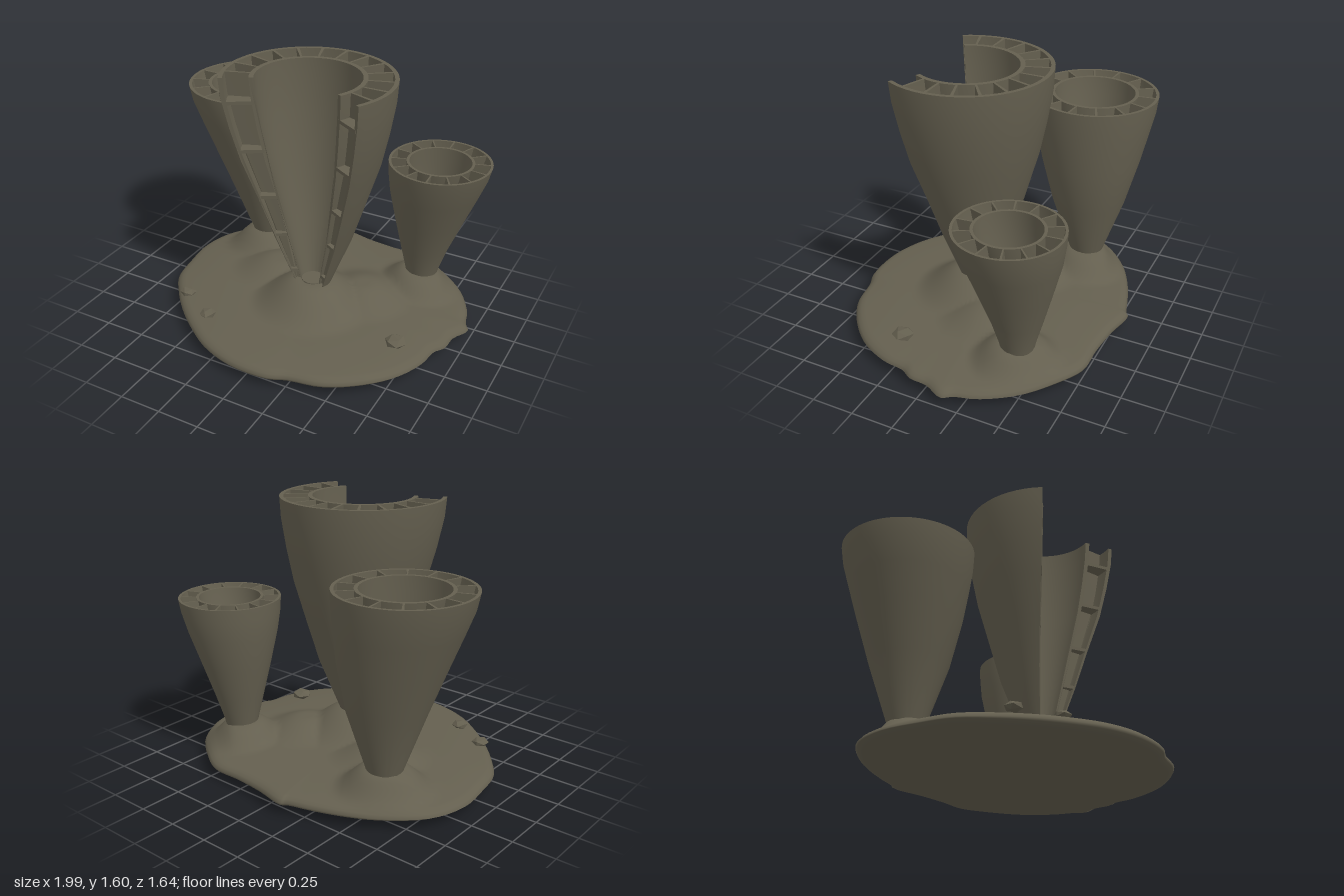
import * as THREE from 'three';
import { toCreasedNormals } from 'three/addons/utils/BufferGeometryUtils.js';

const RAD = Math.PI / 180;
const stone = new THREE.MeshStandardMaterial({ color: 0x645f4f });
stone.name = 'olive stone';

// Each cup: levels are [y, outer radius, axis x, axis z]; angles in degrees, 90 faces the front
const CUPS = [
  {
    name: 'mainCup', from: 149, to: 391, inner: 0.605, floor: 0.285, septa: 13, first: 162, step: 18,
    shelves: [0.35, 0.6, 0.855, 1.155, 1.45],
    levels: [[0.23, 0.09, 0.075, 0.1], [0.28, 0.107, 0.075, 0.1], [0.6, 0.232, 0.077, 0.1], [0.85, 0.312, 0.077, 0.11],
      [1.1, 0.395, 0.075, 0.125], [1.3, 0.443, 0.072, 0.135], [1.48, 0.477, 0.07, 0.143], [1.6, 0.486, 0.07, 0.147]],
  },
  {
    name: 'leftRearCup', from: 0, to: 360, inner: 0.6, floor: 0.47, septa: 14, first: 8, step: 360 / 14,
    shelves: [0.6, 0.9],
    levels: [[0.2, 0.095, 0.575, -0.41], [0.25, 0.105, 0.577, -0.41], [0.4, 0.147, 0.585, -0.41], [0.6, 0.207, 0.605, -0.405],
      [0.8, 0.266, 0.628, -0.4], [0.92, 0.294, 0.647, -0.393], [1, 0.304, 0.657, -0.39]],
  },
  {
    name: 'rightRearCup', from: 0, to: 360, inner: 0.63, floor: 0.53, septa: 14, first: 4, step: 360 / 14,
    shelves: [0.6, 0.9, 1.16],
    levels: [[0.2, 0.095, -0.52, -0.39], [0.25, 0.107, -0.52, -0.39], [0.6, 0.227, -0.528, -0.385], [0.87, 0.302, -0.557, -0.375],
      [1.05, 0.345, -0.585, -0.367], [1.18, 0.374, -0.606, -0.362], [1.275, 0.384, -0.616, -0.36]],
  },
];

// Radius and axis of a cup at a height
function levelAt(levels, y) {
  let i = 1;
  while (i < levels.length - 1 && levels[i][0] < y) i++;
  const a = levels[i - 1], b = levels[i];
  const t = (y - a[0]) / (b[0] - a[0]);
  return a.map((v, k) => v + (b[k] - v) * t);
}

// Sweeps a closed counterclockwise section of [radius, y] around the bent axis of a cup
function sweep(levels, section, from, to, steps) {
  const pos = [];
  const point = ([r, y], deg) => {
    const [, , cx, cz] = levelAt(levels, y);
    return [cx + r * Math.cos(deg * RAD), y, cz + r * Math.sin(deg * RAD)];
  };
  const tri = (a, b, c) => pos.push(...a, ...b, ...c);
  for (let s = 0; s < steps; s++) {
    const a0 = from + (to - from) * s / steps, a1 = from + (to - from) * (s + 1) / steps;
    section.forEach((p, i) => {
      const q = section[(i + 1) % section.length];
      tri(point(p, a0), point(q, a0), point(q, a1));
      tri(point(p, a0), point(q, a1), point(p, a1));
    });
  }
  if (to - from < 360) {
    const flat = section.map(([r, y]) => new THREE.Vector2(r, y));
    for (const [a, b, c] of THREE.ShapeUtils.triangulateShape(flat, [])) {
      tri(point(section[a], to), point(section[b], to), point(section[c], to));
      tri(point(section[c], from), point(section[b], from), point(section[a], from));
    }
  }
  const geo = new THREE.BufferGeometry();
  geo.setAttribute('position', new THREE.Float32BufferAttribute(pos, 3));
  return toCreasedNormals(geo, 0.5);
}

function addMesh(group, geo, name) {
  const mesh = new THREE.Mesh(geo, stone);
  mesh.name = name;
  group.add(mesh);
  return mesh;
}

function makeCup(cup) {
  const { levels, inner, from, to } = cup;
  const g = new THREE.Group();
  g.name = cup.name;
  const steps = Math.round((to - from) / 6);
  // Section between two fractions of the outer radius
  const band = (lo, hi) => [
    ...levels.map(([y, r]) => [r * hi, y]),
    ...[...levels].reverse().map(([y, r]) => [r * lo, y]),
  ];
  addMesh(g, sweep(levels, band(0.95, 1), from, to, steps), 'outerWall');
  addMesh(g, sweep(levels, band(inner, inner + 0.055), from, to, steps), 'innerWall');

  // Radial partitions between the walls
  for (let i = 0; i < cup.septa; i++) {
    const a = cup.first + i * cup.step;
    addMesh(g, sweep(levels, band(inner + 0.03, 0.97), a - 1.1, a + 1.1, 1), 'partition');
  }
  // Ring shelves between the walls
  for (const y of cup.shelves) {
    const r = levelAt(levels, y)[1], lo = r * (inner + 0.03), hi = r * 0.97;
    const ring = [[hi, y - 0.01], [hi, y + 0.01], [lo, y + 0.01], [lo, y - 0.01]];
    addMesh(g, sweep(levels, ring, from, to, steps), 'shelf');
  }
  // Floor of the hollow
  const [, r, cx, cz] = levelAt(levels, cup.floor);
  const floor = addMesh(g, new THREE.CylinderGeometry(r * (inner + 0.02), r * (inner + 0.02), 0.02, 40), 'cupFloor');
  floor.position.set(cx, cup.floor, cz);
  return g;
}

// Sea bed: an irregular disc with hills [x, z, height, flat radius, outer radius] under the cups
const HILLS = [
  [0.075, 0.1, 0.155, 0.09, 0.39], [0.577, -0.41, 0.108, 0.1, 0.28], [-0.52, -0.39, 0.128, 0.1, 0.29],
  [0.32, -0.1, 0.085, 0.04, 0.32], [-0.28, -0.12, 0.08, 0.04, 0.32],
];
const OUTLINE = [
  [-0.13, -0.82], [-0.16, -0.8], [0.06, -0.785], [0.26, -0.765], [0.45, -0.76], [0.6, -0.68], [0.8, -0.52], [0.92, -0.33],
  [0.955, -0.21], [0.99, -0.145], [0.94, -0.03], [0.93, 0.08], [0.89, 0.15], [0.87, 0.28], [0.79, 0.46], [0.64, 0.62],
  [0.46, 0.73], [0.27, 0.77], [0.16, 0.812], [-0.08, 0.812], [-0.3, 0.74], [-0.48, 0.62], [-0.62, 0.5], [-0.74, 0.37],
  [-0.86, 0.2], [-0.9, 0.02], [-0.92, -0.2], [-0.85, -0.42], [-0.66, -0.6], [-0.47, -0.7], [-0.3, -0.76],
].sort((a, b) => Math.atan2(a[1], a[0]) - Math.atan2(b[1], b[0]));

function bedHeight(x, z) {
  return Math.max(...HILLS.map(([hx, hz, h, r0, r1]) =>
    h * (1 - THREE.MathUtils.smoothstep(Math.hypot(x - hx, z - hz), r0, r1))));
}

function makeBed() {
  const curve = new THREE.CatmullRomCurve3(OUTLINE.map(([x, z]) => new THREE.Vector3(x, 0, z)), true, 'centripetal');
  const rim = curve.getPoints(120).slice(0, 120), n = rim.length;
  // Rings from the centre of the underside, around the rim, to the centre of the top
  const rings = [[0.001, 0], [0.4, 0.004], [0.7, 0.018], [0.88, 0.034], [0.96, 0.046], [0.992, 0.06], [1, 0.075], [0.985, 0.092]];
  const topStart = rings.length;
  for (let i = 0; i <= 36; i++) {
    const s = 0.96 * (1 - i / 36) + 0.001;
    rings.push([s, 0.134 - 0.034 * s ** 4]);
  }
  const pos = [], idx = [];
  rings.forEach(([s, y], j) => rim.forEach((p, i) => {
    const x = p.x * s, z = p.z * s;
    // The rim sags towards both sides
    const sag = j >= topStart - 2 ? 0.018 * x ** 4 : 0;
    pos.push(x, y - sag + (j >= topStart ? bedHeight(x, z) * Math.min(1, (1 - s) * 6) : 0), z);
    if (j === 0) return;
    const k = (i + 1) % n, a = (j - 1) * n;
    idx.push(a + i, a + n + k, a + k, a + i, a + n + i, a + n + k);
  }));
  const geo = new THREE.BufferGeometry();
  geo.setAttribute('position', new THREE.Float32BufferAttribute(pos, 3));
  // Rings run from +x towards +z, so this order faces outwards
  geo.setIndex(idx);
  geo.computeVertexNormals();
  return geo;
}

export function createModel() {
  const model = new THREE.Group();
  model.name = 'reefCups';
  addMesh(model, makeBed(), 'seaBed');
  CUPS.forEach((cup) => model.add(makeCup(cup)));

  // Loose faceted pebbles
  const pebble = toCreasedNormals(new THREE.IcosahedronGeometry(1, 0), 0.1);
  [[-0.64, 0.143, 0.4, 0.052], [-0.405, 0.142, 0.535, 0.05], [0.695, 0.147, 0.26, 0.065]].forEach(([x, y, z, r], i) => {
    const mesh = addMesh(model, pebble, 'pebble');
    mesh.position.set(x, y, z);
    mesh.scale.set(r, r * 0.5, r);
    mesh.rotation.y = i * 1.3;
  });
  return model;
}
